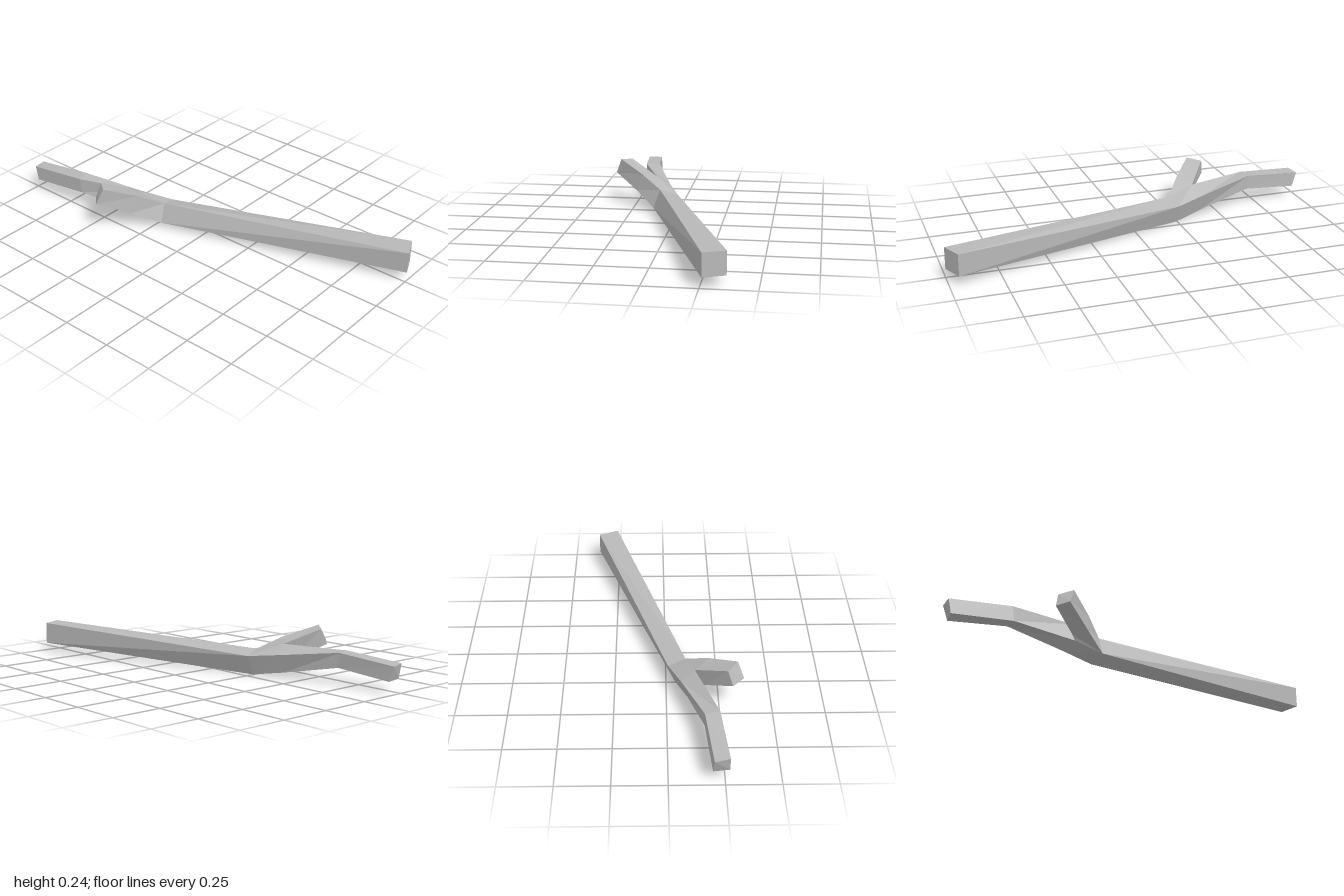
import * as THREE from 'three';

// Skin four-cornered rings (top-left, bottom-left, bottom-right, top-right).
// openStart leaves out the first cap; skip lists "segment,side" quads to leave open.
function skinRings(rings, openStart, skip, material, name) {
  const positions = [];
  const quad = (a, b, c, d) => positions.push(...a, ...b, ...c, ...a, ...c, ...d);
  for (let i = 0; i < rings.length - 1; i++) {
    const near = rings[i], far = rings[i + 1];
    for (let k = 0; k < 4; k++) {
      const n = (k + 1) % 4;
      if (!skip.includes(`${i},${k}`)) quad(near[k], far[k], far[n], near[n]);
    }
  }
  if (!openStart) quad(...rings[0]);
  quad(...[...rings[rings.length - 1]].reverse());
  const geometry = new THREE.BufferGeometry();
  geometry.setAttribute('position', new THREE.Float32BufferAttribute(positions, 3));
  geometry.computeVertexNormals();
  const mesh = new THREE.Mesh(geometry, material);
  mesh.name = name;
  return mesh;
}

export function createModel() {
  const group = new THREE.Group();
  group.name = 'stick';
  const bark = new THREE.MeshStandardMaterial({ color: 0xb8b8b8, flatShading: true });
  bark.name = 'greyBark';

  // Rings either side of the fork
  const forkFront = [[-0.095, 0.12, -0.22], [-0.13, 0.025, -0.21], [-0.045, 0.0, -0.245], [-0.01, 0.096, -0.245]];
  const forkBack = [[-0.135, 0.158, -0.365], [-0.17, 0.055, -0.36], [-0.1, 0.025, -0.4], [-0.07, 0.115, -0.4]];

  // Main stem, from the thick front end to the bent tip
  const stem = [
    [[0.26, 0.157, 1.0], [0.26, 0.048, 1.0], [0.362, 0.048, 0.955], [0.362, 0.157, 0.955]],
    forkFront,
    forkBack,
    [[-0.24, 0.156, -0.68], [-0.24, 0.08, -0.67], [-0.17, 0.082, -0.69], [-0.17, 0.155, -0.7]],
    [[-0.27, 0.135, -0.985], [-0.27, 0.061, -0.97], [-0.195, 0.057, -0.975], [-0.2, 0.13, -1.0]],
  ];
  group.add(skinRings(stem, false, ['1,0'], bark, 'stem'));

  // Side twig growing from the open face at the fork
  const twig = [
    [forkFront[0], forkFront[1], forkBack[1], forkBack[0]],
    [[-0.2, 0.18, -0.3], [-0.235, 0.09, -0.315], [-0.185, 0.075, -0.375], [-0.15, 0.165, -0.377]],
    [[-0.335, 0.237, -0.41], [-0.365, 0.158, -0.435], [-0.31, 0.153, -0.49], [-0.285, 0.228, -0.475]],
  ];
  group.add(skinRings(twig, true, [], bark, 'sideTwig'));

  return group;
}
